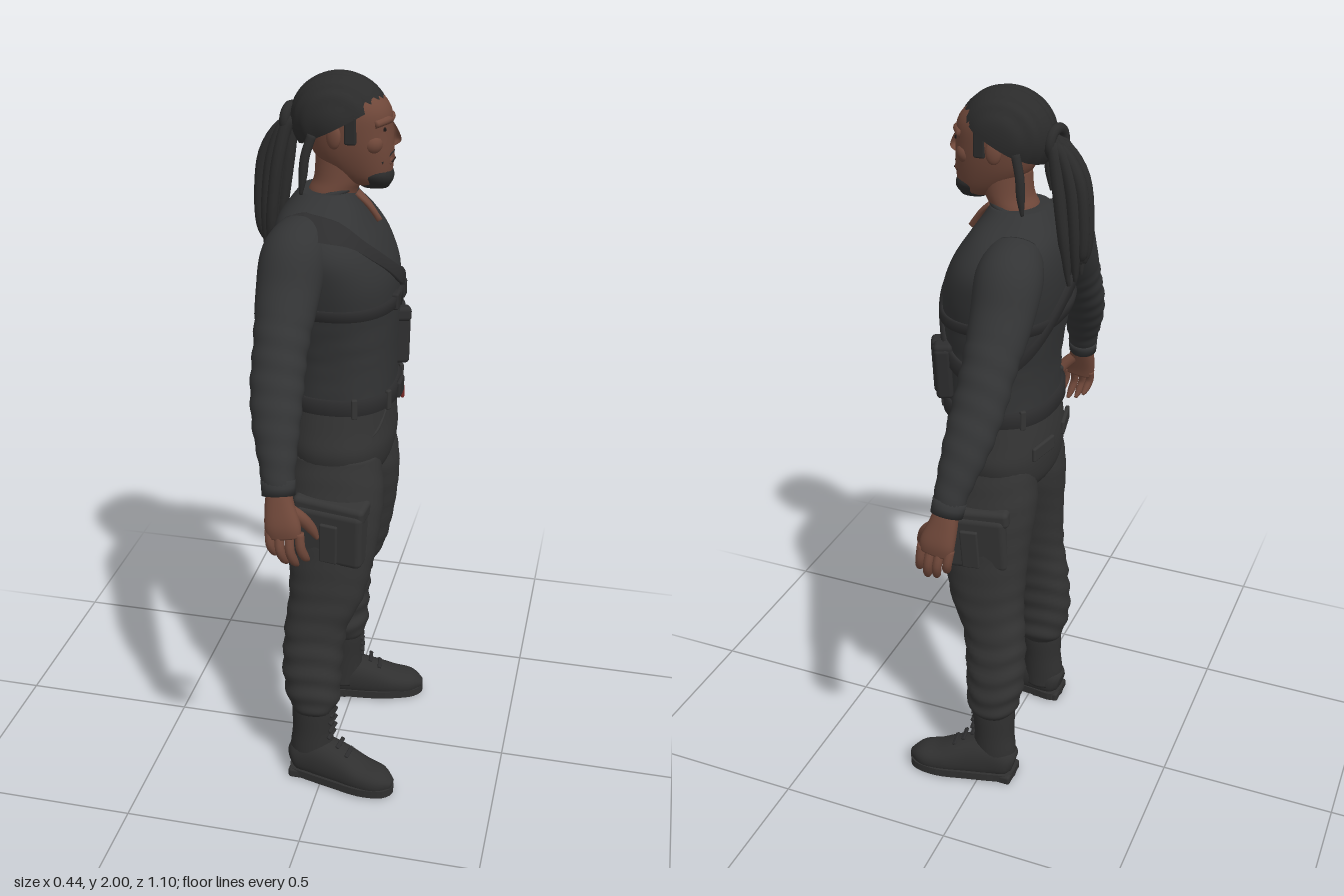
import * as THREE from 'three';
import { RoundedBoxGeometry } from 'three/addons/geometries/RoundedBoxGeometry.js';

const paint = (name, color, side = THREE.FrontSide) => {
  const m = new THREE.MeshStandardMaterial({ color, side });
  m.name = name;
  return m;
};
const V = (x, y, z) => new THREE.Vector3(x, y, z);

// Catmull-Rom through rows of numbers
function refine(rows, steps) {
  const out = [], n = rows.length - 1;
  for (let i = 0; i <= n * steps; i++) {
    const k = Math.min(Math.floor(i / steps), n - 1), t = i / steps - k;
    const [a, b, c, d] = [-1, 0, 1, 2].map(o => rows[Math.min(n, Math.max(0, k + o))]);
    out.push(b.map((_, j) => 0.5 * (2 * b[j] + (c[j] - a[j]) * t
      + (2 * a[j] - 5 * b[j] + 4 * c[j] - d[j]) * t * t
      + (3 * b[j] - a[j] - 3 * c[j] + d[j]) * t * t * t)));
  }
  return out;
}
const power = (v, n) => Math.sign(v) * Math.abs(v) ** (2 / n);

function gridGeometry(pos, index) {
  const g = new THREE.BufferGeometry();
  g.setAttribute('position', new THREE.Float32BufferAttribute(pos, 3));
  g.setIndex(index);
  g.computeVertexNormals();
  return g;
}

// Skin a path of rows [x, y, z, radiusU, radiusW]; flat keeps the rings level
function loft(rows, { seg = 28, steps = 5, flat = false, ref = V(1, 0, 0), n = 2, fold = null, minY = -1 } = {}) {
  const R = refine(rows, steps), pos = [], index = [], L = R.length;
  R.forEach((r, i) => {
    const a = R[Math.max(0, i - 1)], b = R[Math.min(L - 1, i + 1)];
    const t = flat ? V(0, 1, 0) : V(b[0] - a[0], b[1] - a[1], b[2] - a[2]).normalize();
    const u = ref.clone().addScaledVector(t, -ref.dot(t)).normalize(), w = t.clone().cross(u);
    for (let j = 0; j < seg; j++) {
      const q = j / seg * Math.PI * 2, k = 1 + (fold ? fold(r[1], q) : 0);
      const p = V(r[0], r[1], r[2]).addScaledVector(u, power(Math.cos(q), n) * r[3] * k)
        .addScaledVector(w, power(Math.sin(q), n) * r[4] * k);
      pos.push(p.x, Math.max(p.y, minY), p.z);
      if (i < L - 1) {
        const A = i * seg + j, B = i * seg + (j + 1) % seg;
        index.push(A, B, B + seg, A, B + seg, A + seg);
      }
    }
  });
  const c0 = L * seg, last = (L - 1) * seg;
  pos.push(...R[0].slice(0, 3), ...R[L - 1].slice(0, 3));
  for (let j = 0; j < seg; j++) {
    const k = (j + 1) % seg;
    index.push(c0, k, j, c0 + 1, last + j, last + k);
  }
  return gridGeometry(pos, index);
}

const HIPS = [[0, .91, 0, .08, .09], [.005, .96, 0, .13, .165], [.008, 1.03, 0, .147, .195], [.008, 1.1, 0, .145, .185], [.013, 1.19, 0, .137, .17]];
const TORSO = [[.012, 1.16, 0, .141, .172], [.012, 1.28, 0, .141, .172], [.005, 1.4, 0, .15, .188], [-.004, 1.5, 0, .157, .21],
  [-.02, 1.58, 0, .143, .217], [-.033, 1.64, 0, .118, .18], [-.033, 1.685, 0, .088, .11], [-.03, 1.71, 0, .07, .078]];
const LEG = [[-.03, .235, .195, .058, .056], [-.03, .27, .193, .074, .072], [-.035, .36, .19, .083, .072], [-.026, .5, .175, .088, .069],
  [0, .6, .162, .104, .074], [.013, .75, .14, .122, .087], [.013, .9, .113, .134, .1], [.01, 1.02, .1, .12, .09]];
const ARM = [[-.06, 1.62, .11, .07, .06], [-.072, 1.58, .18, .085, .08], [-.076, 1.5, .24, .08, .068], [-.074, 1.4, .317, .069, .06],
  [-.07, 1.32, .373, .067, .053], [-.06, 1.24, .425, .06, .048], [-.045, 1.15, .475, .045, .039], [-.037, 1.085, .5, .037, .034]];
const HEAD = [[.088, 1.722, 0, .03, .025], [.066, 1.745, 0, .066, .052], [.038, 1.8, 0, .1, .073], [.026, 1.86, 0, .109, .084],
  [.018, 1.915, 0, .111, .086], [.01, 1.955, 0, .087, .07], [.005, 1.985, 0, .045, .035]];

// A strap lying on the torso: rows [angle, height]
const FINE = refine(TORSO, 12);
function strap(rows, half, lift) {
  const pos = [], index = [], R = refine(rows, 12);
  R.forEach(([a, y], i) => {
    [[-half, 0], [-half, lift], [half, lift], [half, 0]].forEach(([dy, off]) => {
      const h = y + dy;
      const k = Math.max(1, FINE.findIndex(f => f[1] >= h)), A = FINE[k - 1], B = FINE[k];
      const t = (h - A[1]) / (B[1] - A[1]), m = A.map((v, j) => v + (B[j] - v) * t);
      pos.push(m[0] + power(Math.cos(a), 2.4) * (m[3] + off), h, power(Math.sin(a), 2.4) * (m[4] + off));
    });
    if (i) for (let j = 0; j < 3; j++) {
      const q = i * 4 + j, p = q - 4;
      index.push(p, p + 1, q + 1, p, q + 1, q);
    }
  });
  return gridGeometry(pos, index);
}
const ring = y => Array.from({ length: 13 }, (_, i) => [i / 12 * Math.PI * 2, y]);

export function createModel() {
  const model = new THREE.Group();
  const skin = paint('skin', 0x70483a), hair = paint('hair', 0x2b2b2b, THREE.DoubleSide), shirt = paint('shirt', 0x333435);
  const trousers = paint('trousers', 0x343434), leather = paint('boot leather', 0x303030), webbing = paint('webbing', 0x2d2d2e, THREE.DoubleSide);
  const red = paint('red', 0x7a2a26), dark = paint('dark', 0x1d1817);
  const add = (name, geo, mat, p = [0, 0, 0], rot = [0, 0, 0], parent = model) => {
    const m = new THREE.Mesh(geo, mat);
    m.name = name;
    m.position.set(...p);
    m.rotation.set(...rot);
    parent.add(m);
    return m;
  };
  const box = (w, h, d, r = .01) => new RoundedBoxGeometry(w, h, d, 3, r);

  // Torso, hips and neck
  add('shirt', loft(TORSO, { seg: 48, flat: true, n: 2.4, fold: (y, q) => y < 1.4 ? .012 * Math.sin(y * 110 + 2 * Math.sin(q * 2)) : 0 }), shirt);
  add('trouserSeat', loft(HIPS, { seg: 40, flat: true, n: 2.3 }), trousers);
  add('neck', loft([[-.03, 1.62, 0, .065, .075], [-.018, 1.7, 0, .063, .068], [0, 1.74, 0, .064, .063], [.01, 1.8, 0, .07, .06]], { flat: true }), skin);
  add('collar', new THREE.TorusGeometry(.069, .008, 8, 32), shirt, [-.026, 1.702, 0], [Math.PI / 2, .25, 0]);
  add('neckOpening', loft([[.045, 1.7, 0, .008, .02], [.075, 1.672, 0, .008, .014], [.105, 1.63, 0, .008, .003]], { seg: 12 }), skin);

  // Belt, harness and pouches
  add('belt', strap(ring(1.175), .02, .012), webbing);
  add('chestBand', strap(ring(1.435), .014, .01), webbing);
  add('shoulderStrap', strap([[1.75, 1.655], [.95, 1.635], [.5, 1.58], [.05, 1.5], [-.4, 1.42], [-.85, 1.34], [-1.57, 1.3],
    [-2.3, 1.36], [-2.9, 1.46], [-3.5, 1.57], [-4.1, 1.64], [-4.53, 1.655]], .022, .012), webbing);
  add('buckle', box(.012, .045, .06, .005), webbing, [.167, 1.175, 0]);
  add('redTag', box(.008, .035, .012, .003), red, [.168, 1.145, -.035]);
  for (const z of [.04, -.05]) add('bandBuckle', box(.02, .045, .04, .006), webbing, [.158, 1.435, z]);
  for (const [x, y, z] of [[.147, 1.275, -.112], [.122, 1.28, -.152]]) {
    add('pouch', box(.045, .15, .038, .012), webbing, [x, y, z], [-.1, .35, 0]);
    add('pouchFlap', box(.05, .04, .043, .012), webbing, [x, y + .065, z], [-.1, .35, 0]);
  }

  // Head and face
  add('head', loft(HEAD, { seg: 36, flat: true, n: 2.2 }), skin);
  add('nose', loft([[.128, 1.885, 0, .006, .009], [.138, 1.86, 0, .012, .012], [.141, 1.837, 0, .015, .02], [.132, 1.825, 0, .008, .016]], { seg: 14, flat: true }), skin);
  add('brow', loft([[.1, 1.888, -.062, .012, .01], [.122, 1.893, -.03, .013, .011], [.127, 1.888, 0, .009, .009], [.122, 1.893, .03, .013, .011], [.1, 1.888, .062, .012, .01]], { seg: 12 }), skin);
  add('lips', box(.016, .02, .05, .007), skin, [.13, 1.79, 0]);
  add('mouthLine', box(.006, .003, .044, .001), dark, [.137, 1.789, 0]);
  add('moustache', loft([[.112, 1.79, -.042, .008, .008], [.127, 1.808, -.02, .009, .006], [.131, 1.81, 0, .008, .005], [.127, 1.808, .02, .009, .006], [.112, 1.79, .042, .008, .008]], { seg: 10 }), hair);
  add('beard', loft([[.092, 1.72, 0, .034, .028], [.088, 1.74, 0, .05, .047], [.085, 1.757, 0, .053, .055], [.085, 1.772, 0, .045, .05]], { seg: 24, flat: true, n: 2.2 }), hair);

  // Braided hair
  const cap = new THREE.SphereGeometry(1, 64, 28, 0, Math.PI * 2, 0, Math.PI * .53);
  cap.rotateZ(.52);
  cap.scale(.124, .113, .1);
  const cp = cap.attributes.position;
  for (let i = 0; i < cp.count; i++) {
    const k = 1 + .012 * Math.sin(cp.getZ(i) * 260);
    cp.setXYZ(i, cp.getX(i) * k, cp.getY(i) * k, cp.getZ(i) * k);
  }
  cap.computeVertexNormals();
  add('braidedHair', cap, hair, [.002, 1.887, 0]);
  add('hairTie', new THREE.TorusGeometry(.034, .014, 10, 24), hair, [-.125, 1.875, 0], [0, Math.PI / 2 - .2, 0]);
  for (let i = 0; i < 13; i++) {
    const a = i * 2.4, r = .04 * Math.sqrt(i / 12), dx = Math.cos(a) * r, dz = Math.sin(a) * r, drop = .035 * Math.sin(i * 1.7);
    add('ponytailLock', loft([[-.09, 1.875, dz * .4, .013, .013], [-.13 + dx * .5, 1.87 + dx * .3, dz * .8, .016, .016], [-.158 + dx, 1.79, dz * 1.2, .017, .017],
      [-.172 + dx, 1.69, dz * 1.3, .016, .017], [-.178 + dx * .8, 1.61, dz * 1.2, .014, .015], [-.182 + dx * .5, 1.555 + drop, dz, .005, .005]], { seg: 10, steps: 4 }), hair);
  }

  for (const s of [1, -1]) {
    const half = new THREE.Group();
    half.name = s > 0 ? 'limbsPositiveZ' : 'limbsNegativeZ';
    model.add(half);
    const side = rows => rows.map(([x, y, z, a, b]) => [x, y, z * s, a, b]);
    const put = (name, geo, mat, p, rot) => add(name, geo, mat, p, rot, half);

    // Face and hair on each side
    put('eye', box(.008, .01, .026, .003), dark, [.119, 1.873, .034 * s], [0, .35 * s, 0]);
    put('cheek', new THREE.SphereGeometry(.028, 16, 12), skin, [.092, 1.838, .045 * s]);
    put('ear', new THREE.SphereGeometry(1, 16, 12).scale(.02, .031, .011), skin, [.005, 1.86, .089 * s], [0, -.3 * s, 0]);
    put('sideburn', box(.03, .07, .012, .005), hair, [.045, 1.875, .082 * s]);
    put('looseLock', loft(side([[-.05, 1.86, .085, .012, .01], [-.065, 1.81, .095, .012, .011], [-.07, 1.76, .1, .011, .01], [-.075, 1.715, .102, .004, .004]]), { seg: 10 }), hair);

    // Sleeve and cuff
    put('sleeve', loft(side(ARM), { seg: 28, steps: 9, fold: (y, q) => y < 1.45 ? .028 * Math.sin(y * 130 + 1.5 * Math.sin(q + s)) : 0 }), shirt);
    put('cuff', loft(side([[-.041, 1.12, .487, .043, .037], [-.037, 1.085, .5, .041, .037]]), { seg: 24, steps: 2 }), shirt);

    // Hand
    put('palm', loft(side([[-.037, 1.1, .497, .03, .026], [-.032, 1.06, .51, .037, .024], [-.022, 1.015, .524, .045, .021], [-.017, .985, .527, .042, .016]]), { n: 2.4 }), skin);
    for (let i = 0; i < 4; i++) {
      const x = -.055 + i * .025, len = [.075, .093, .098, .085][i], out = [.0, .006, .005, -.004][i];
      put('finger', loft(side([[x, 1.0, .525, .012, .013], [x + .004, 1 - len * .45, .533 + out, .012, .012],
        [x + .011, 1 - len * .8, .522 + out, .011, .011], [x + .016, 1 - len, .506 + out, .005, .005]]), { seg: 12, steps: 4 }), skin);
    }
    put('thumb', loft(side([[-.015, 1.055, .505, .016, .016], [.018, 1.025, .495, .017, .015], [.04, .99, .481, .013, .013], [.052, .96, .472, .005, .006]]), { seg: 12 }), skin);

    // Trouser leg with gathered folds
    put('trouserLeg', loft(side(LEG), { seg: 32, steps: 10, flat: true, n: 2.2,
      fold: (y, q) => (y < .5 ? .04 : y < .66 ? .016 : .006) * Math.sin(y * 95 + 1.6 * Math.sin(q * 2 + s) + q) }), trousers);
    put('cargoPocket', box(.19, .17, .07, .018), trousers, [.022, .815, .195 * s], [.07 * s, -.12 * s, -.03]);
    put('cargoFlap', box(.2, .05, .078, .014), trousers, [.022, .895, .19 * s], [.07 * s, -.12 * s, -.06]);
    put('pocketPleat', box(.05, .12, .012, .005), trousers, [.022, .8, .232 * s], [.07 * s, -.12 * s, -.03]);
    put('seatPocketFlap', box(.012, .04, .1, .005), trousers, [-.131, 1.07, .085 * s], [0, .2 * s, 0]);
    put('frontPocketSeam', loft(side([[.142, 1.14, .07, .005, .005], [.125, 1.09, .12, .005, .005], [.075, 1.06, .17, .005, .005]]), { seg: 8 }), trousers);
    for (const a of [.45, 1.2, 2.3]) put('beltLoop', box(.012, .055, .016, .004), trousers,
      [.013 + power(Math.cos(a), 2.4) * .152, 1.175, s * power(Math.sin(a), 2.4) * .182], [0, -a * s, 0]);

    // Boot
    put('bootShaft', loft(side([[-.035, .05, .2, .06, .05], [-.035, .1, .2, .063, .05], [-.032, .16, .198, .06, .05], [-.03, .22, .196, .063, .053], [-.03, .26, .195, .062, .053]]), { flat: true }), leather);
    put('bootFoot', loft(side([[-.096, .055, .198, .025, .03], [-.075, .06, .2, .045, .05], [-.02, .068, .207, .051, .065], [.05, .058, .219, .053, .058],
      [.12, .045, .235, .053, .042], [.175, .04, .245, .045, .034], [.212, .032, .25, .015, .014]]), { ref: V(0, 0, 1), n: 2.3, minY: .015 }), leather);
    const outline = new THREE.Shape(new THREE.SplineCurve([[-.1, .2], [-.08, .155], [-.01, .16], [.07, .168], [.14, .185], [.195, .21], [.216, .25],
      [.19, .284], [.12, .292], [.03, .272], [-.05, .252], [-.09, .238], [-.1, .2]].map(([x, z]) => new THREE.Vector2(x, z * s))).getPoints(48));
    const sole = new THREE.ExtrudeGeometry(outline, { depth: .024, bevelEnabled: false });
    sole.rotateX(Math.PI / 2);
    put('sole', sole, leather, [0, .03, 0]);
    put('heel', box(.085, .03, .09, .008), leather, [-.055, .015, .203 * s]);
    for (let i = 0; i < 6; i++) {
      const x = i < 3 ? .08 - i * .027 : .03, y = .106 + i * .024 - (i > 2 ? .004 : 0);
      put('lace', box(.012, .008, .05, .003), webbing, [x - (i > 2 ? .002 : 0), y, (.224 - i * .005) * s], [0, -.15 * s, -.5]);
    }
  }
  return model;
}
